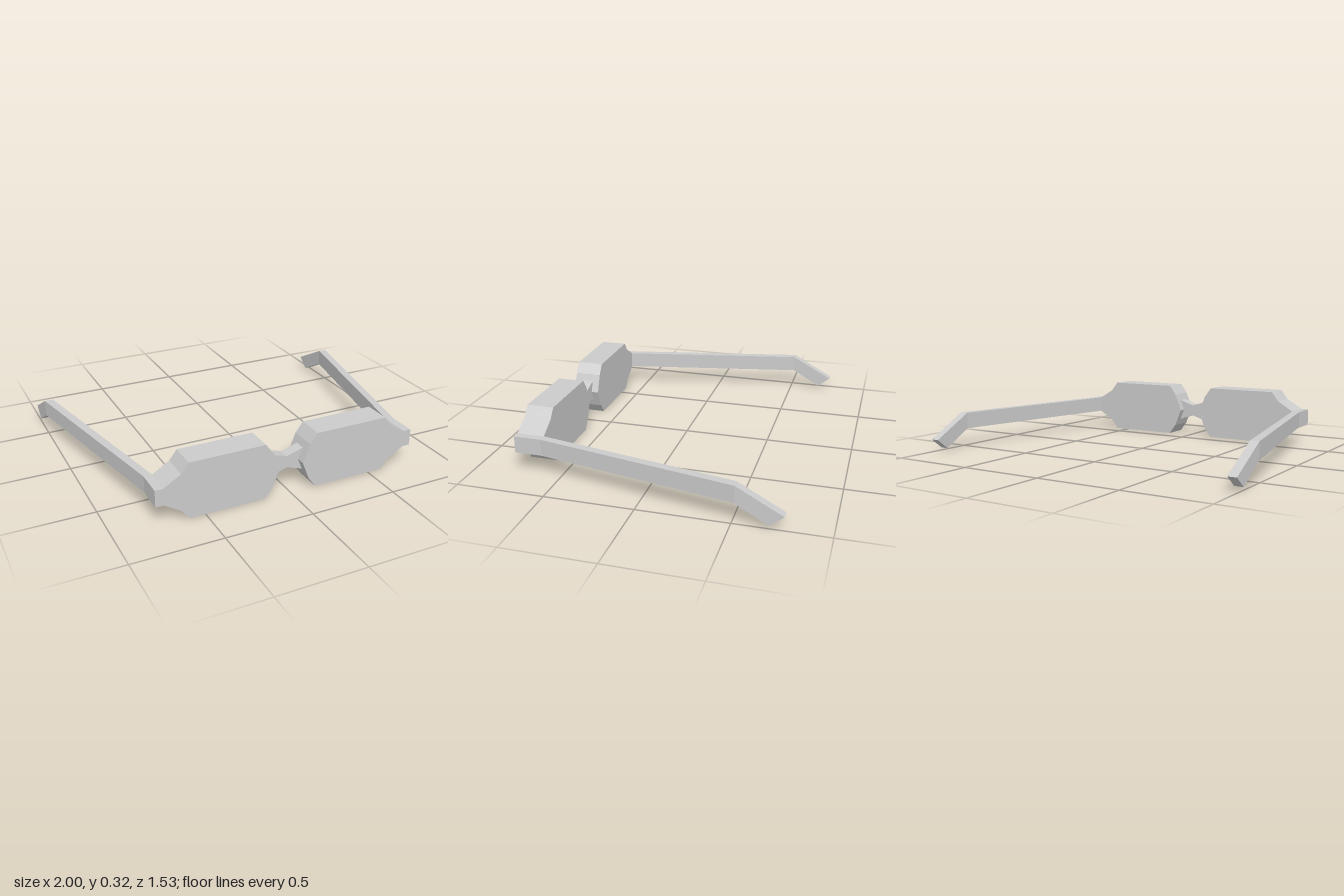
import * as THREE from 'three';

const material = new THREE.MeshStandardMaterial({ color: 0xcccccc, flatShading: true });
const MID = 0.163; // height of the frame's horizontal symmetry line

function addMesh(parent, name, geometry) {
  const mesh = new THREE.Mesh(geometry, material);
  mesh.name = name;
  parent.add(mesh);
}

// Extrudes an outline whose upper half is given; the lower half is mirrored about MID
function slab(upper, z0, z1) {
  const lower = upper.filter(([, h]) => h > 0).reverse().map(([x, h]) => [x, -h]);
  const points = [...upper, ...lower].map(([x, h]) => new THREE.Vector2(x, MID + h));
  const geometry = new THREE.ExtrudeGeometry(new THREE.Shape(points), { depth: z1 - z0, bevelEnabled: false });
  return geometry.translate(0, 0, z0);
}

// Joins four-cornered sections (listed front to back) into a closed bar
function loft(sections) {
  const positions = [];
  const quad = (a, b, c, d) => positions.push(...a, ...b, ...c, ...a, ...c, ...d);
  for (let i = 0; i < sections.length - 1; i++) {
    const p = sections[i], q = sections[i + 1];
    for (let k = 0; k < 4; k++) {
      const n = (k + 1) % 4;
      quad(p[k], q[k], q[n], p[n]);
    }
  }
  quad(...sections[0]);
  quad(...[...sections[sections.length - 1]].reverse());
  const geometry = new THREE.BufferGeometry();
  geometry.setAttribute('position', new THREE.Float32BufferAttribute(positions, 3));
  geometry.computeVertexNormals();
  return geometry;
}

// Lens block with its stepped outer end, from inner tip to hinge
const LENS = [[0.07, 0], [0.112, 0.104], [0.155, 0.162], [0.588, 0.162],
  [0.63, 0.107], [0.727, 0.048], [0.772, 0.048]];

// Temple arm sections: centre x, width, top (z, y), bottom (z, y)
const TEMPLE = [
  [0.749, 0.046, [0.607, 0.211], [0.607, 0.115]],
  [0.975, 0.05, [-0.513, 0.211], [-0.513, 0.115]],
  [0.975, 0.05, [-0.763, 0.076], [-0.687, 0.016]],
];

export function createModel() {
  const model = new THREE.Group();
  model.name = 'glasses';

  for (const [side, s] of [['left', 1], ['right', -1]]) {
    addMesh(model, `${side}Lens`, slab(LENS.map(([x, h]) => [s * x, h]), 0.607, 0.763));

    // Arm splays outward, then bends down behind the ear
    addMesh(model, `${side}Temple`, loft(TEMPLE.map(([cx, w, [tz, ty], [bz, by]]) => {
      const x0 = s * cx - w / 2, x1 = s * cx + w / 2;
      return [[x0, by, bz], [x1, by, bz], [x1, ty, tz], [x0, ty, tz]];
    })));
  }

  // Narrow-waisted nose bridge
  addMesh(model, 'bridge', slab([[-0.097, 0.065], [0, 0.034], [0.097, 0.065]], 0.65, 0.713));

  return model;
}
